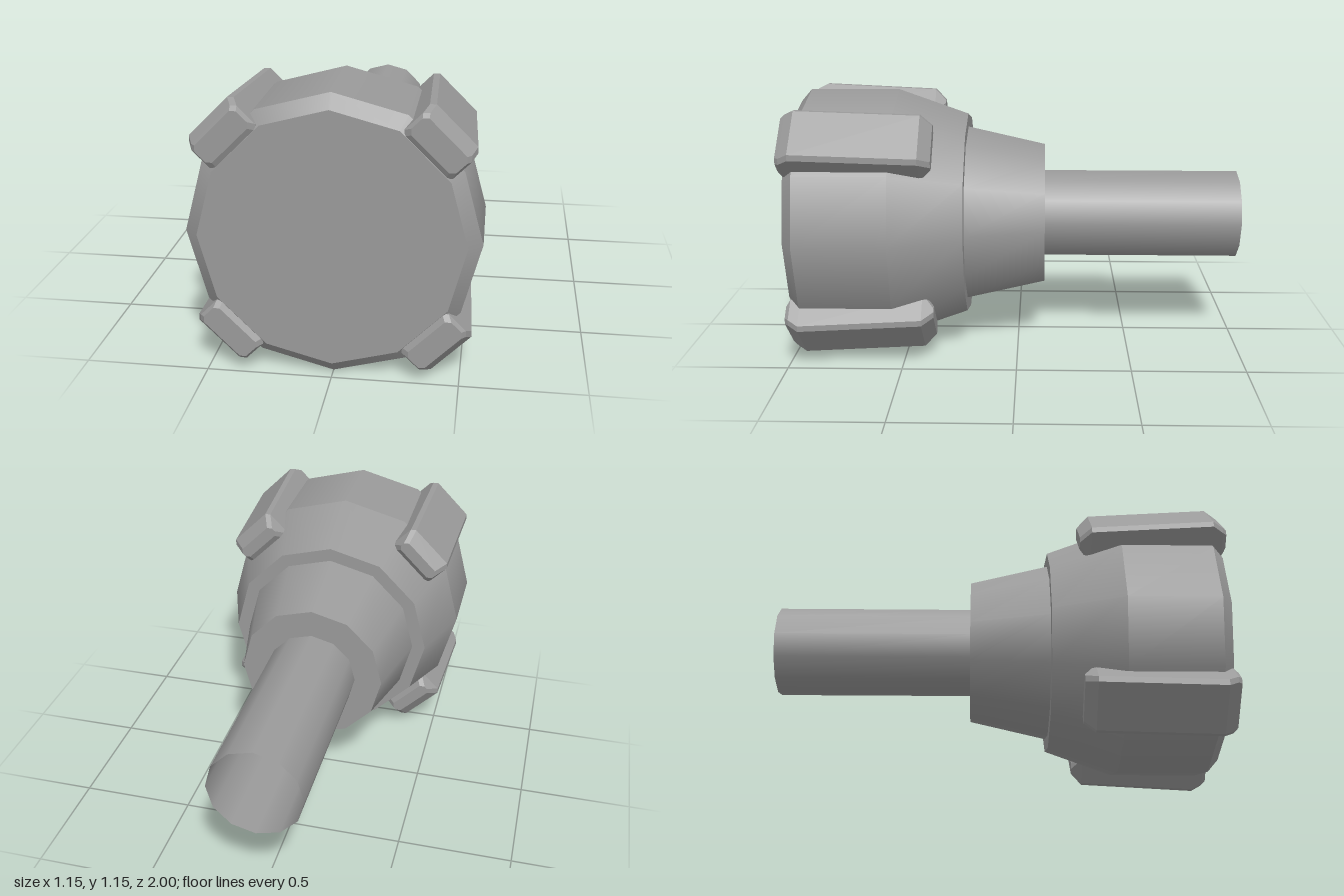
import * as THREE from 'three';
import { mergeGeometries } from 'three/addons/utils/BufferGeometryUtils.js';

const SIDES = 12;
const AXIS_Y = 0.575;
const COLOR = 0x9a9a9a;
const grey = new THREE.MeshStandardMaterial({ color: COLOR });
const greyOpen = new THREE.MeshStandardMaterial({ color: COLOR, side: THREE.DoubleSide });
const greyFlat = new THREE.MeshStandardMaterial({ color: COLOR, flatShading: true });

// Turned part along z from [radius, z] pairs, listed back to front.
// Each band is its own lathe: smooth around the axis, sharp between bands.
function turned(name, profile, material = grey) {
  const points = profile.map(([r, z]) => new THREE.Vector2(r, z));
  const bands = [];
  for (let i = 0; i < points.length - 1; i++) {
    bands.push(new THREE.LatheGeometry([points[i], points[i + 1]], SIDES));
  }
  const mesh = new THREE.Mesh(mergeGeometries(bands).rotateX(Math.PI / 2), material);
  mesh.name = name;
  return mesh;
}

// Bevelled block lofted from octagonal sections, each [z, half width, inner radius, outer radius]
function padGeometry() {
  const c = 0.018;
  const stations = [
    [1.0, 0.116, 0.525, 0.617],
    [0.983, 0.127, 0.498, 0.629],
    [0.94, 0.127, 0.495, 0.658],
    [0.41, 0.127, 0.465, 0.628],
    [0.36, 0.108, 0.525, 0.578],
  ];
  const positions = [], index = [];
  for (const [z, w, lo, hi] of stations) {
    const loop = [
      [-w + c, lo], [w - c, lo], [w, lo + c], [w, hi - c],
      [w - c, hi], [-w + c, hi], [-w, hi - c], [-w, lo + c],
    ];
    for (const [x, y] of loop) positions.push(x, y, z);
  }
  const n = 8, last = (stations.length - 1) * n;
  for (let s = 0; s < last; s += n) {
    for (let j = 0; j < n; j++) {
      const k = (j + 1) % n;
      index.push(s + j, s + n + j, s + n + k, s + j, s + n + k, s + k);
    }
  }
  // End caps
  for (let j = 1; j < n - 1; j++) {
    index.push(0, j, j + 1, last, last + j + 1, last + j);
  }
  const indexed = new THREE.BufferGeometry();
  indexed.setAttribute('position', new THREE.Float32BufferAttribute(positions, 3));
  indexed.setIndex(index);
  const geometry = indexed.toNonIndexed();
  geometry.computeVertexNormals();
  return geometry;
}

export function createModel() {
  const model = new THREE.Group();
  model.name = 'model';
  const assembly = new THREE.Group();
  assembly.name = 'assembly';
  assembly.position.y = AXIS_Y;
  model.add(assembly);

  // Wide head with a bevelled front face and tapered back
  assembly.add(turned('head', [
    [0, 0.23], [0.465, 0.23], [0.575, 0.54], [0.575, 0.94], [0.52, 0.988], [0, 0.988],
  ]));

  // Tapered collar behind the head
  assembly.add(turned('collar', [[0, -0.12], [0.325, -0.12], [0.405, 0.23]]));

  // Hollow rear tube, open at the back
  assembly.add(turned('rearTube', [[0.202, -1], [0.202, -0.12]], greyOpen));

  // Four pads on the diagonals
  const pad = padGeometry();
  for (let i = 0; i < 4; i++) {
    const mesh = new THREE.Mesh(pad, greyFlat);
    mesh.name = `pad${i + 1}`;
    mesh.rotation.z = Math.PI / 4 + (i * Math.PI) / 2;
    assembly.add(mesh);
  }
  return model;
}
